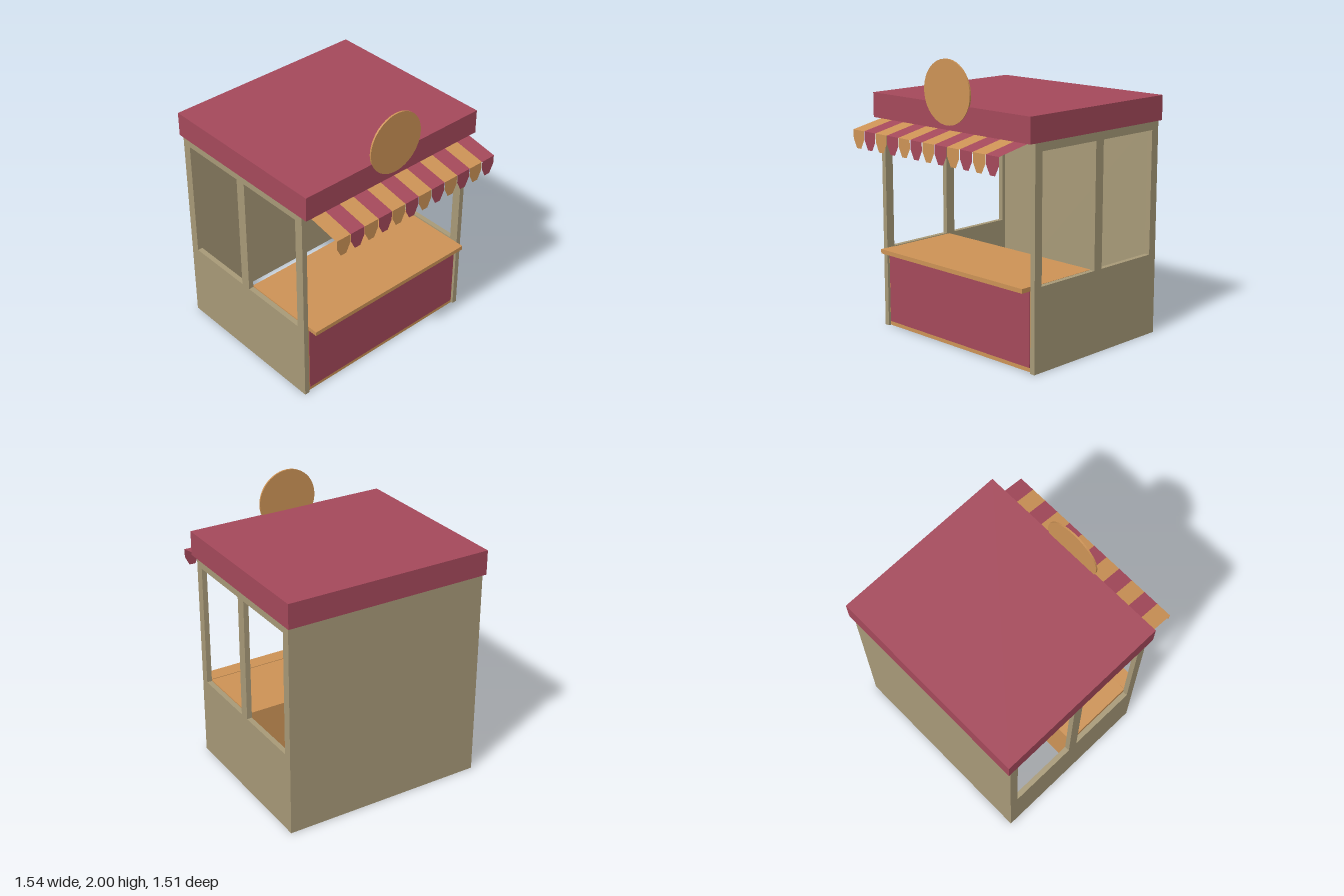
import * as THREE from 'three';

const mat = (color, side = THREE.FrontSide) =>
  new THREE.MeshStandardMaterial({ color, side, flatShading: true });
const WALL = 0xa89a78, RED = 0xa5495b, ORANGE = 0xcd9356;

export function createModel() {
  const stall = new THREE.Group();
  stall.name = 'marketStall';
  const wall = mat(WALL), red = mat(RED), orange = mat(ORANGE);
  const redCloth = mat(RED, THREE.DoubleSide), orangeCloth = mat(ORANGE, THREE.DoubleSide);

  const add = (name, geometry, material, parent = stall) => {
    const mesh = new THREE.Mesh(geometry, material);
    mesh.name = name;
    parent.add(mesh);
    return mesh;
  };
  // Box given by its lower and upper corners
  const box = (name, [x0, y0, z0], [x1, y1, z1], material) =>
    add(name, new THREE.BoxGeometry(x1 - x0, y1 - y0, z1 - z0), material)
      .position.set((x0 + x1) / 2, (y0 + y1) / 2, (z0 + z1) / 2);
  const rect = (Type, x0, y0, x1, y1) => new Type(
    [[x0, y0], [x1, y0], [x1, y1], [x0, y1]].map(p => new THREE.Vector2(...p)));

  // Side walls, each with two window openings
  const shape = rect(THREE.Shape, -0.745, 0, 0.485, 1.53);
  for (const [x0, x1] of [[-0.68, -0.17], [-0.095, 0.42]])
    shape.holes.push(rect(THREE.Path, x0, 0.585, x1, 1.47));
  const thickness = 0.037;
  const wallGeometry = new THREE.ExtrudeGeometry(shape, { depth: thickness, bevelEnabled: false });
  add('frontWindowWall', wallGeometry, wall).position.z = 0.745 - thickness;
  add('backWindowWall', wallGeometry, wall).position.z = -0.745;

  // Solid wall opposite the serving side
  box('solidWall', [-0.745, 0, -0.708], [-0.708, 1.53, 0.708], wall);

  // Roof slab
  box('roof', [-0.77, 1.53, -0.757], [0.543, 1.705, 0.757], red);

  // Counter with its coloured panel and projecting ledge
  box('counter', [-0.11, 0.005, -0.7], [0.473, 0.583, 0.7], orange);
  box('counterPanel', [0.46, 0.035, -0.693], [0.478, 0.556, 0.693], red);
  box('servingLedge', [0.44, 0.556, -0.697], [0.552, 0.587, 0.697], orange);

  // Striped awning: sloping cloth strips, each ending in a hanging flap
  const awning = new THREE.Group();
  awning.name = 'awning';
  stall.add(awning);
  const count = 12, pitch = 1.415 / count;
  const inner = [0.49, 1.53], outer = [0.767, 1.476];
  const run = outer[0] - inner[0], drop = inner[1] - outer[1];
  const stripGeometry = new THREE.PlaneGeometry(Math.hypot(run, drop), pitch);
  stripGeometry.rotateX(-Math.PI / 2).rotateZ(-Math.atan2(drop, run));
  const flapShape = new THREE.Shape([
    [-0.056, 0], [-0.056, -0.06], [-0.023, -0.126], [0.023, -0.126], [0.056, -0.06], [0.056, 0],
  ].map(p => new THREE.Vector2(...p)));
  const flapGeometry = new THREE.ShapeGeometry(flapShape).rotateY(Math.PI / 2);
  for (let i = 0; i < count; i++) {
    const z = -0.7075 + (i + 0.5) * pitch;
    const cloth = i % 2 ? orangeCloth : redCloth;
    add('awningStripe', stripGeometry, cloth, awning)
      .position.set((inner[0] + outer[0]) / 2, (inner[1] + outer[1]) / 2, z);
    add('awningFlap', flapGeometry, cloth, awning).position.set(outer[0], outer[1], z);
  }

  // Round sign board on the roof edge
  const sign = add('roundSign', new THREE.CylinderGeometry(0.22, 0.22, 0.012, 48), orange);
  sign.rotation.z = -Math.PI / 2;
  sign.position.set(0.541, 1.78, 0);

  return stall;
}
